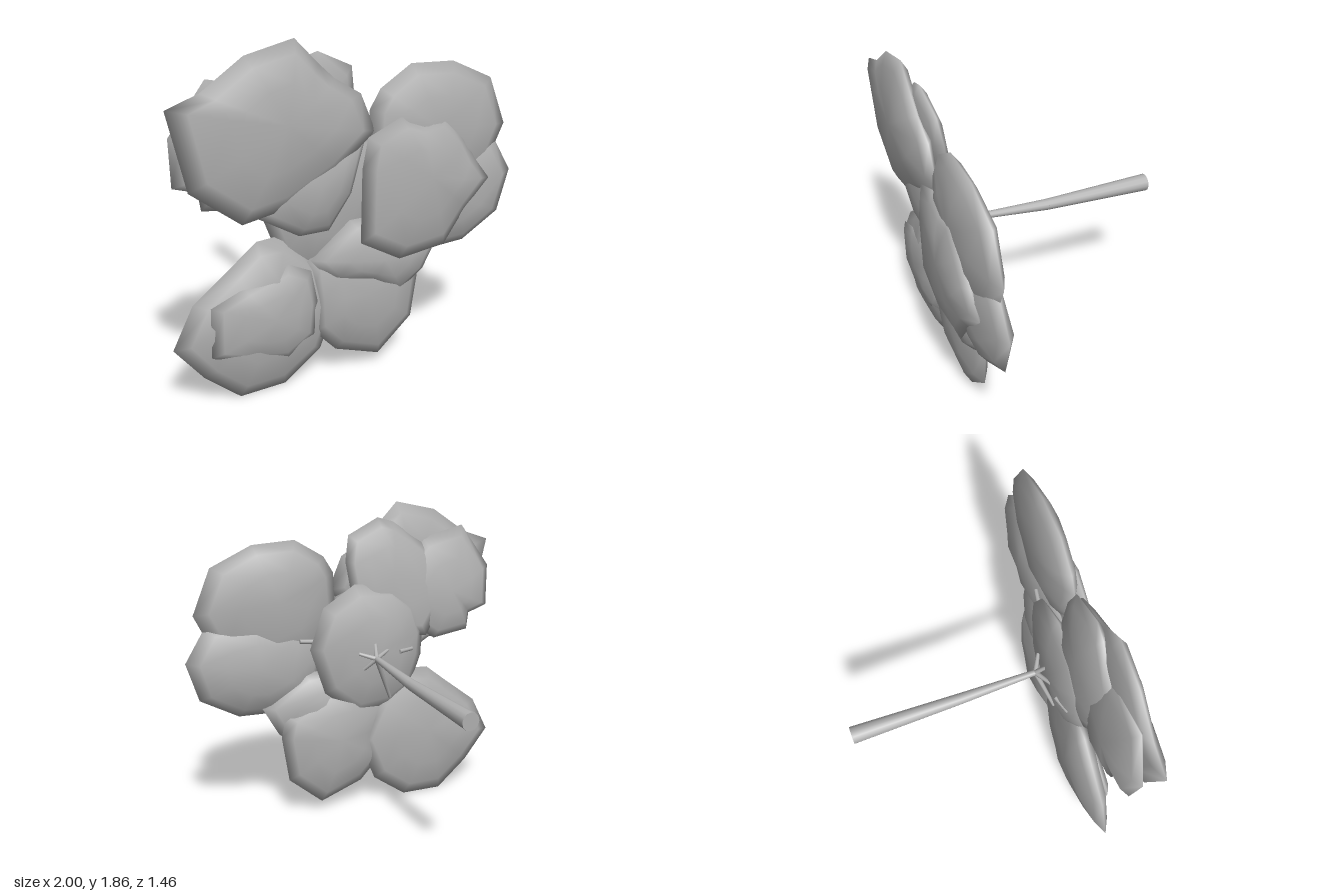
import * as THREE from 'three';

const grey = new THREE.MeshStandardMaterial({ color: 0xb2b2b2 });
grey.name = 'grey';

// Leaf clump: a flattened pillow swept from its outline, bulging to z0 and z1 around rim depth z.
// tilt leans the clump forward with height.
function clump(name, outline, z, z0, z1, tilt = 0) {
  const pts = outline.map(p => new THREE.Vector2(p[0], p[1]));
  if (THREE.ShapeUtils.isClockWise(pts)) pts.reverse();
  const n = pts.length;
  const c = pts.reduce((s, p) => s.add(p), new THREE.Vector2()).divideScalar(n);
  // [scale of outline, share of bulge], from front to back
  const rings = [[0.5, 0.84], [0.83, 0.45], [1, 0], [0.83, -0.45], [0.5, -0.84]];
  const pos = [c.x, c.y, z1], index = [];
  rings.forEach(([s, b], r) => pts.forEach((p, i) => {
    const wobble = 1 + 0.1 * Math.sin(i * 2.3 + r);
    const bulge = b * wobble * (b > 0 ? z1 - z : z - z0);
    const dy = (p.y - c.y) * s;
    pos.push(c.x + (p.x - c.x) * s, c.y + dy, z + bulge + dy * tilt);
  }));
  pos.push(c.x, c.y, z0);
  const last = pos.length / 3 - 1;
  for (let i = 0; i < n; i++) {
    const j = (i + 1) % n;
    index.push(0, 1 + i, 1 + j);
    for (let r = 0; r < rings.length - 1; r++) {
      const a = 1 + r * n, b = a + n;
      index.push(a + i, b + i, b + j, a + i, b + j, a + j);
    }
    const e = last - n;
    index.push(last, e + j, e + i);
  }
  const g = new THREE.BufferGeometry();
  g.setAttribute('position', new THREE.Float32BufferAttribute(pos, 3));
  g.setIndex(index);
  g.computeVertexNormals();
  const mesh = new THREE.Mesh(g, grey);
  mesh.name = name;
  return mesh;
}

// Tapered round limb between two points
function limb(name, from, to, r0, r1, sides = 8) {
  const a = new THREE.Vector3(...from), b = new THREE.Vector3(...to);
  const d = b.clone().sub(a);
  const mesh = new THREE.Mesh(new THREE.CylinderGeometry(r1, r0, d.length(), sides), grey);
  mesh.position.copy(a).add(b).multiplyScalar(0.5);
  mesh.quaternion.setFromUnitVectors(new THREE.Vector3(0, 1, 0), d.normalize());
  mesh.name = name;
  return mesh;
}

export function createModel() {
  const tree = new THREE.Group();
  tree.name = 'tree';

  // Upper right clumps
  tree.add(clump('upperRightClump', [[-1, 1.6], [-0.83, 1.66], [-0.61, 1.81], [-0.35, 1.87], [-0.22, 1.74],
    [-0.13, 1.66], [0.02, 1.57], [0.11, 1.37], [-0.1, 1.2], [-0.4, 1.04], [-0.63, 1], [-0.9, 1.2]], 0.6, 0.52, 0.68));
  tree.add(clump('upperRightBackClump', [[-0.94, 1.2], [-0.96, 1.45], [-0.78, 1.71], [-0.5, 1.65], [-0.3, 1.45],
    [-0.3, 1.2], [-0.55, 1.03], [-0.79, 1.06], [-0.81, 1.16]], 0.51, 0.44, 0.58, 0.1));
  tree.add(clump('upperInnerBackClump', [[-0.65, 1.3], [-0.52, 1.6], [-0.3, 1.76], [-0.2, 1.79], [0, 1.7],
    [0.03, 1.55], [0, 1.3], [-0.2, 1.1], [-0.48, 1.06]], 0.51, 0.45, 0.59, 0.14));

  // Upper left and side clumps
  tree.add(clump('upperLeftClump', [[0.08, 1.48], [0.14, 1.58], [0.32, 1.69], [0.58, 1.68], [0.83, 1.57],
    [0.94, 1.31], [0.82, 1.06], [0.5, 0.92], [0.2, 1], [0.07, 1.25]], 0.59, 0.5, 0.68));
  tree.add(clump('leftClump', [[0.26, 1.2], [0.6, 1.28], [0.88, 1.23], [1, 1.04], [0.93, 0.81], [0.7, 0.68],
    [0.5, 0.67], [0.2, 0.78], [0.14, 1]], 0.59, 0.49, 0.67));

  // Middle clumps
  tree.add(clump('frontClump', [[0, 1.2], [0.03, 1.36], [0.22, 1.44], [0.35, 1.4], [0.49, 1.42], [0.62, 1.29],
    [0.7, 1.16], [0.8, 1.04], [0.65, 0.89], [0.52, 0.71], [0.24, 0.68], [0, 0.81]], 0.66, 0.56, 0.73));
  tree.add(clump('middleClump', [[-0.58, 1.03], [-0.3, 0.87], [-0.13, 0.87], [0, 1.05], [0.08, 1.34],
    [-0.15, 1.42], [-0.42, 1.3]], 0.56, 0.48, 0.635));
  tree.add(clump('backClump', [[-0.46, 1.1], [-0.45, 0.94], [-0.37, 0.74], [-0.22, 0.64], [0, 0.62], [0.2, 0.78],
    [0.29, 1.06], [0.2, 1.3], [0, 1.42], [-0.25, 1.4], [-0.4, 1.28]], 0.47, 0.38, 0.55));

  // Lower clumps
  tree.add(clump('lowerRightClump', [[-0.96, 0.36], [-0.85, 0.58], [-0.64, 0.74], [-0.5, 0.85], [-0.35, 0.86],
    [-0.14, 0.69], [-0.02, 0.44], [-0.13, 0.17], [-0.34, 0.02], [-0.6, 0.01], [-0.8, 0.17]], 0.48, 0.4, 0.58));
  tree.add(clump('lowerRightFrontClump', [[-0.78, 0.57], [-0.6, 0.64], [-0.35, 0.72], [-0.22, 0.66], [-0.18, 0.48],
    [-0.2, 0.3], [-0.35, 0.2], [-0.55, 0.23], [-0.78, 0.3]], 0.54, 0.48, 0.6));
  tree.add(clump('lowerLeftClump', [[-0.2, 0.5], [-0.23, 0.7], [-0.03, 0.83], [0.2, 0.8], [0.44, 0.66],
    [0.47, 0.53], [0.43, 0.25], [0.22, 0.07], [-0.05, 0.16], [-0.19, 0.3]], 0.51, 0.42, 0.6));
  tree.add(clump('lowerLeftFrontClump', [[-0.23, 0.72], [0, 0.9], [0.3, 0.9], [0.57, 0.72], [0.47, 0.54],
    [0.33, 0.44], [0.1, 0.53], [-0.12, 0.6]], 0.55, 0.46, 0.63));

  // Trunk in two tapering lengths
  const fork = [-0.08, 0.99, 0.34];
  tree.add(limb('lowerTrunk', [-0.06, 0.94, -0.73], [-0.07, 0.955, -0.1], 0.05, 0.032, 12));
  tree.add(limb('upperTrunk', [-0.07, 0.955, -0.1], fork, 0.032, 0.017, 12));

  // Branches fanning out from the fork
  [[-0.18, 1.02, 0.39], [0.01, 1.02, 0.39], [-0.1, 1.08, 0.4], [-0.02, 0.92, 0.39], [-0.21, 0.71, 0.42]]
    .forEach(tip => tree.add(limb('branch', fork, tip, 0.015, 0.01)));
  // Twig ends showing between clumps
  tree.add(limb('twig', [-0.26, 1, 0.39], [-0.36, 1, 0.42], 0.014, 0.012));
  tree.add(limb('twig', [0.22, 1.1, 0.48], [0.34, 1.11, 0.5], 0.014, 0.012));
  return tree;
}
